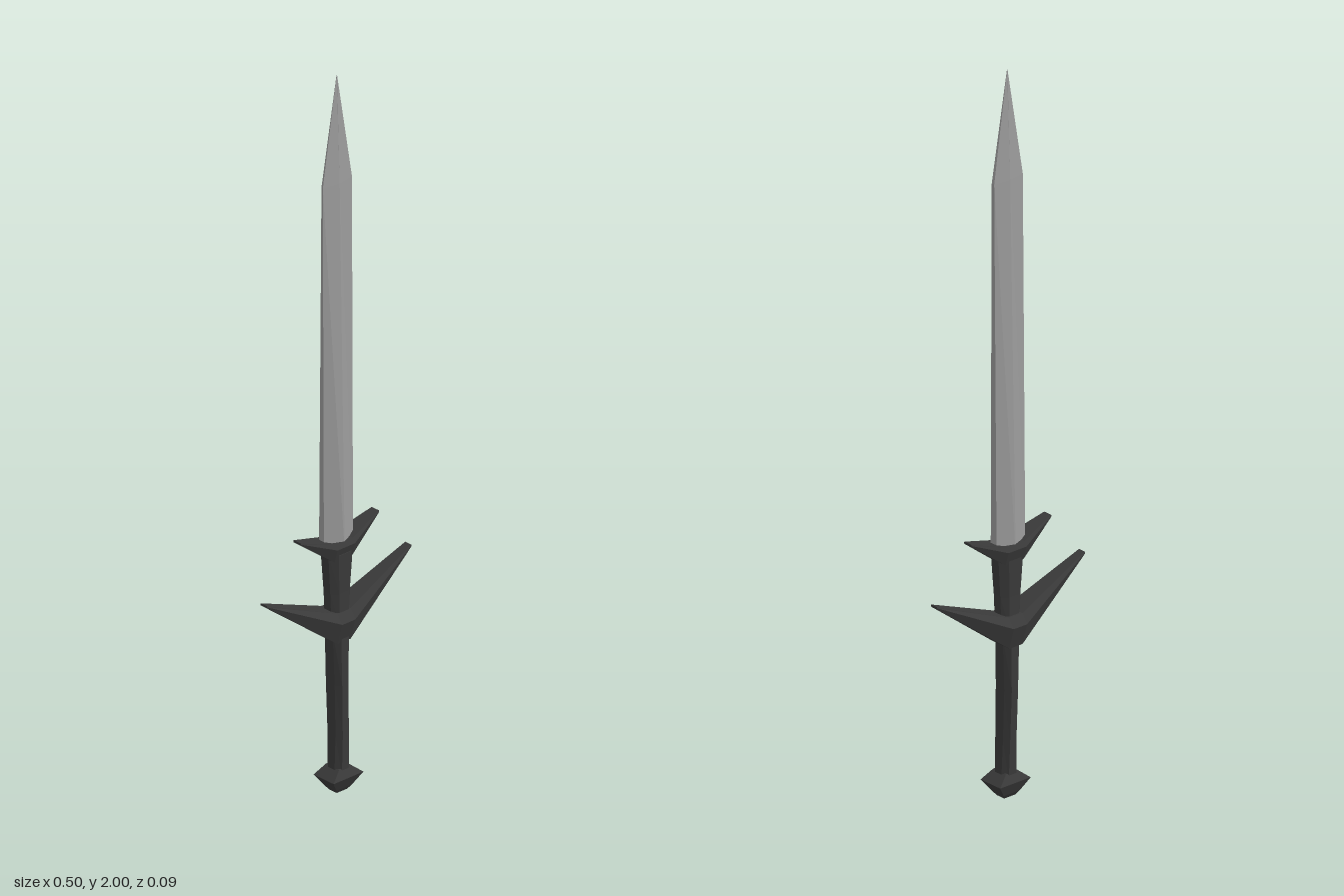
import * as THREE from 'three';

// Closed faceted solid through a series of rings with equal point counts
function loft(rings) {
  const n = rings[0].length, tris = [];
  for (let i = 0; i < rings.length - 1; i++) {
    for (let j = 0; j < n; j++) {
      const k = (j + 1) % n;
      const a = rings[i][j], b = rings[i][k], c = rings[i + 1][k], d = rings[i + 1][j];
      tris.push([a, b, c], [a, c, d]);
    }
  }
  const last = rings[rings.length - 1];
  for (let j = 1; j < n - 1; j++) {
    tris.push([rings[0][0], rings[0][j + 1], rings[0][j]], [last[0], last[j], last[j + 1]]);
  }
  // Turn the faces outward when the enclosed volume comes out negative
  const v = (p) => new THREE.Vector3(...p);
  const volume = tris.reduce((s, [a, b, c]) => s + v(a).dot(v(b).cross(v(c))), 0);
  if (volume < 0) tris.forEach((t) => t.reverse());
  const geo = new THREE.BufferGeometry();
  geo.setAttribute('position', new THREE.Float32BufferAttribute(tris.flat(2), 3));
  geo.computeVertexNormals();
  return geo;
}

// Horizontal octagon with half width w and half depth d, centred on z
const octagon = (y, w, d, z = 0) => [[1, 0.45], [0.5, 1], [-0.5, 1], [-1, 0.45],
  [-1, -0.45], [-0.5, -1], [0.5, -1], [1, -0.45]].map(([a, b]) => [a * w, y, z + b * d]);

// Horizontal rectangle
const rect = (y, w, d, z = 0) => [[w, y, z + d], [-w, y, z + d], [-w, y, z - d], [w, y, z - d]];

// Blade section: ridged faces with narrow blunt edges
const bladeRing = (y, w, s) => [[w, y, 0.006 * s], [0, y, 0.029 * s], [-w, y, 0.006 * s],
  [-w * 0.96, y, -0.014 * s], [0, y, -0.032 * s], [w * 0.96, y, -0.014 * s]];

// Upswept guard: stations hold x, bottom, ridge and top heights with their half depths
function guard(half, z) {
  const mirrored = half.map(([x, ...rest]) => [-x, ...rest]).reverse();
  return loft([...mirrored, ...half].map(([x, yb, zb, ym, zm, yt, zt]) => [
    [x, yb, z + zb], [x, ym, z + zm], [x, yt, z + zt],
    [x, yt, z - zt], [x, ym, z - zm], [x, yb, z - zb],
  ]));
}

export function createModel() {
  const model = new THREE.Group();
  const steel = new THREE.MeshStandardMaterial({ color: 0x9c9c9c, flatShading: true });
  steel.name = 'steel';
  const dark = new THREE.MeshStandardMaterial({ color: 0x3a3a3a, flatShading: true });
  dark.name = 'dark iron';
  const add = (name, geo, mat) => {
    const mesh = new THREE.Mesh(geo, mat);
    mesh.name = name;
    model.add(mesh);
  };

  // Blade thins steadily towards the point
  add('blade', loft([bladeRing(0.67, 0.05, 1), bladeRing(1.7, 0.05, 0.36),
    bladeRing(2, 0.0008, 0.03)]), steel);

  // Small guard below the blade
  add('upperGuard', guard([
    [0.03, 0.652, 0.026, 0.69, 0.037, 0.703, 0.03],
    [0.134, 0.731, 0.013, 0.734, 0.014, 0.737, 0.013],
  ], -0.002), dark);

  // Wide main guard
  add('lowerGuard', guard([
    [0.022, 0.422, 0.03, 0.482, 0.047, 0.507, 0.03],
    [0.248, 0.594, 0.011, 0.597, 0.012, 0.6, 0.011],
  ], -0.003), dark);

  // Flared collar between the guards
  add('collar', loft([octagon(0.47, 0.03, 0.027), octagon(0.56, 0.034, 0.027),
    octagon(0.67, 0.042, 0.031)]), dark);

  // Grip, slightly waisted
  add('grip', loft([octagon(0.05, 0.025, 0.026, 0.006), octagon(0.16, 0.021, 0.028, 0.005),
    octagon(0.3, 0.021, 0.03, 0.001), octagon(0.45, 0.027, 0.03)]), dark);

  // Faceted pommel
  add('pommel', loft([rect(0, 0.018, 0.014, 0.005), rect(0.012, 0.027, 0.022, 0.005),
    rect(0.045, 0.051, 0.037, 0.006), rect(0.07, 0.02, 0.024, 0.006)]), dark);

  return model;
}
